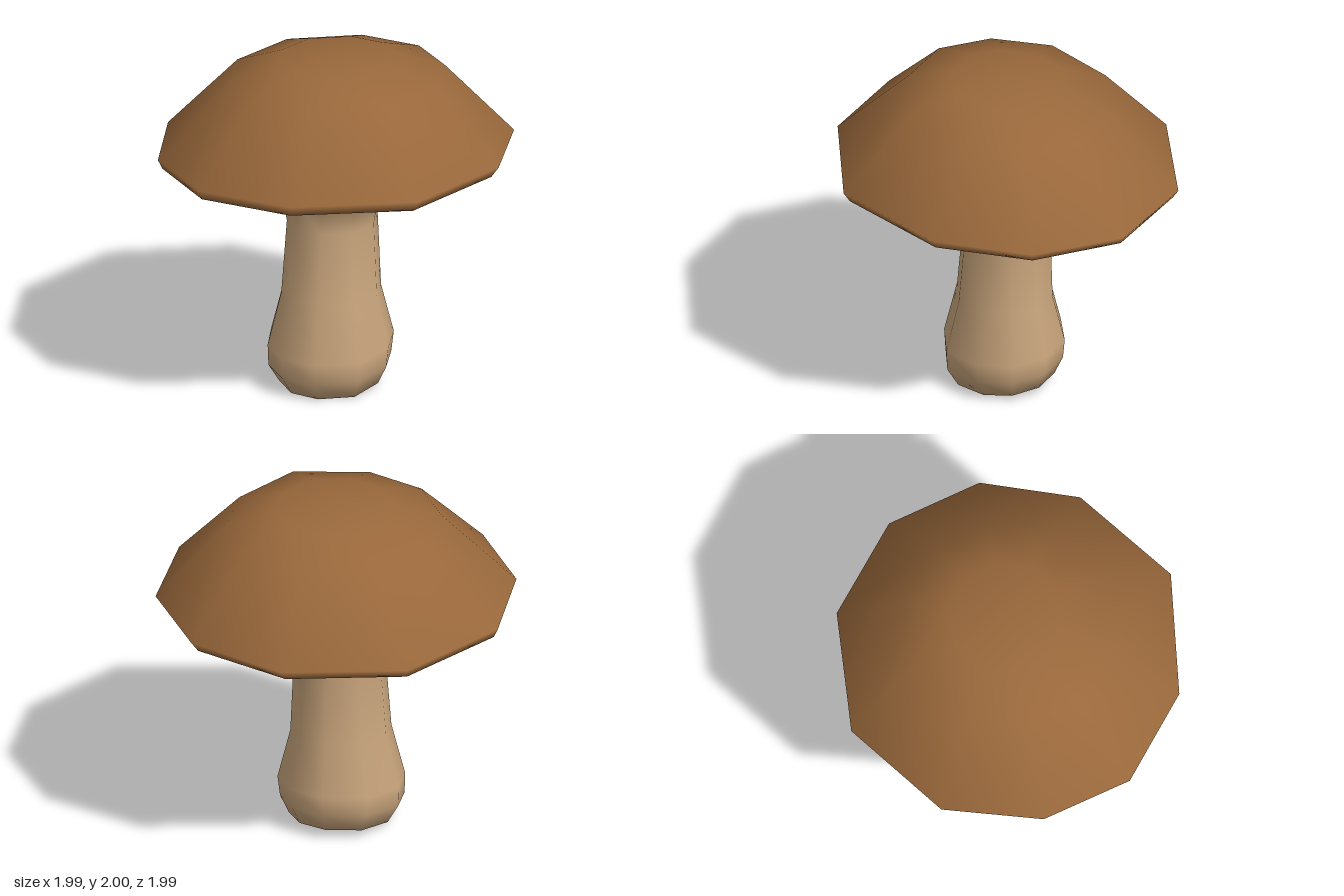
import * as THREE from 'three';

export function createModel() {
  const model = new THREE.Group();
  const brown = new THREE.MeshStandardMaterial({ color: 0x99683b });
  brown.name = 'cap brown';
  const tan = new THREE.MeshStandardMaterial({ color: 0xcaa67d });
  tan.name = 'stem tan';

  // Irregular ten-sided outline (x, z) shared by every ring
  const outline = [
    [-0.04, -1], [0.55, -0.87], [0.92, -0.45], [0.99, 0.12], [0.69, 0.74],
    [0.02, 0.99], [-0.55, 0.87], [-0.9, 0.47], [-1, -0.1], [-0.69, -0.72],
  ];
  const n = outline.length;

  // Rings from top to bottom: radius, height, centre x, centre z, tilt in x, tilt in z
  const rings = [
    [0.33, 1.972, 0.01, -0.02, 0.015, 0.045], // crown
    [0.6, 1.875, 0.01, -0.02, 0.02, 0.045],   // shoulder
    [1, 1.445, 0, 0, 0.025, 0.04],            // widest rim
    [0.965, 1.385, -0.01, 0, 0.02, 0.036],    // lower rim
    [0.45, 1.29, -0.01, 0, 0.02, 0.04],       // underside
    [0.285, 1.185, -0.015, 0, 0.02, 0.03],    // neck
    [0.255, 1, -0.015, 0.005, 0, 0],
    [0.28, 0.565, -0.018, 0.018, 0, 0],
    [0.354, 0.262, -0.02, 0.022, 0, -0.07],   // bulb
    [0.345, 0.14, -0.024, 0.025, 0, -0.08],
    [0.288, 0.03, -0.02, 0.015, 0, -0.1],     // foot
    [0.07, 0.033, -0.01, 0.01, 0, -0.1],      // foot spot edge
  ];

  const positions = [0, 2, 0];
  for (const [r, y, cx, cz, tx, tz] of rings) {
    for (const [ox, oz] of outline) {
      const x = ox * r, z = oz * r;
      positions.push(cx + x, y + tx * x + tz * z, cz + z);
    }
  }
  positions.push(-0.01, 0.033, 0.01);
  const last = positions.length / 3 - 1;
  const at = (ring, j) => 1 + ring * n + (j % n);

  // Bands of faces between consecutive rings
  function bands(from, to) {
    const index = [];
    for (let i = from; i < to; i++) {
      for (let j = 0; j < n; j++) {
        const a = at(i, j), b = at(i, j + 1), c = at(i + 1, j), d = at(i + 1, j + 1);
        index.push(b, d, c, b, c, a);
      }
    }
    return index;
  }
  const crown = [], spot = [];
  for (let j = 0; j < n; j++) {
    crown.push(0, at(0, j + 1), at(0, j));
    spot.push(last, at(rings.length - 1, j), at(rings.length - 1, j + 1));
  }

  const parts = [
    ['cap', [...crown, ...bands(0, 3)], brown],
    ['underside', bands(3, 5), tan],
    ['stem', bands(5, rings.length - 1), tan],
    ['footSpot', spot, brown],
  ];

  // Smooth normals computed over the whole skin so the parts blend at their seams
  const skin = new THREE.BufferGeometry();
  skin.setAttribute('position', new THREE.Float32BufferAttribute(positions, 3));
  skin.setIndex(parts.flatMap((p) => p[1]));
  skin.computeVertexNormals();

  for (const [name, index, material] of parts) {
    const geometry = new THREE.BufferGeometry();
    geometry.setAttribute('position', skin.getAttribute('position'));
    geometry.setAttribute('normal', skin.getAttribute('normal'));
    geometry.setIndex(index);
    const mesh = new THREE.Mesh(geometry, material);
    mesh.name = name;
    model.add(mesh);
  }
  model.name = 'mushroom';
  return model;
}
